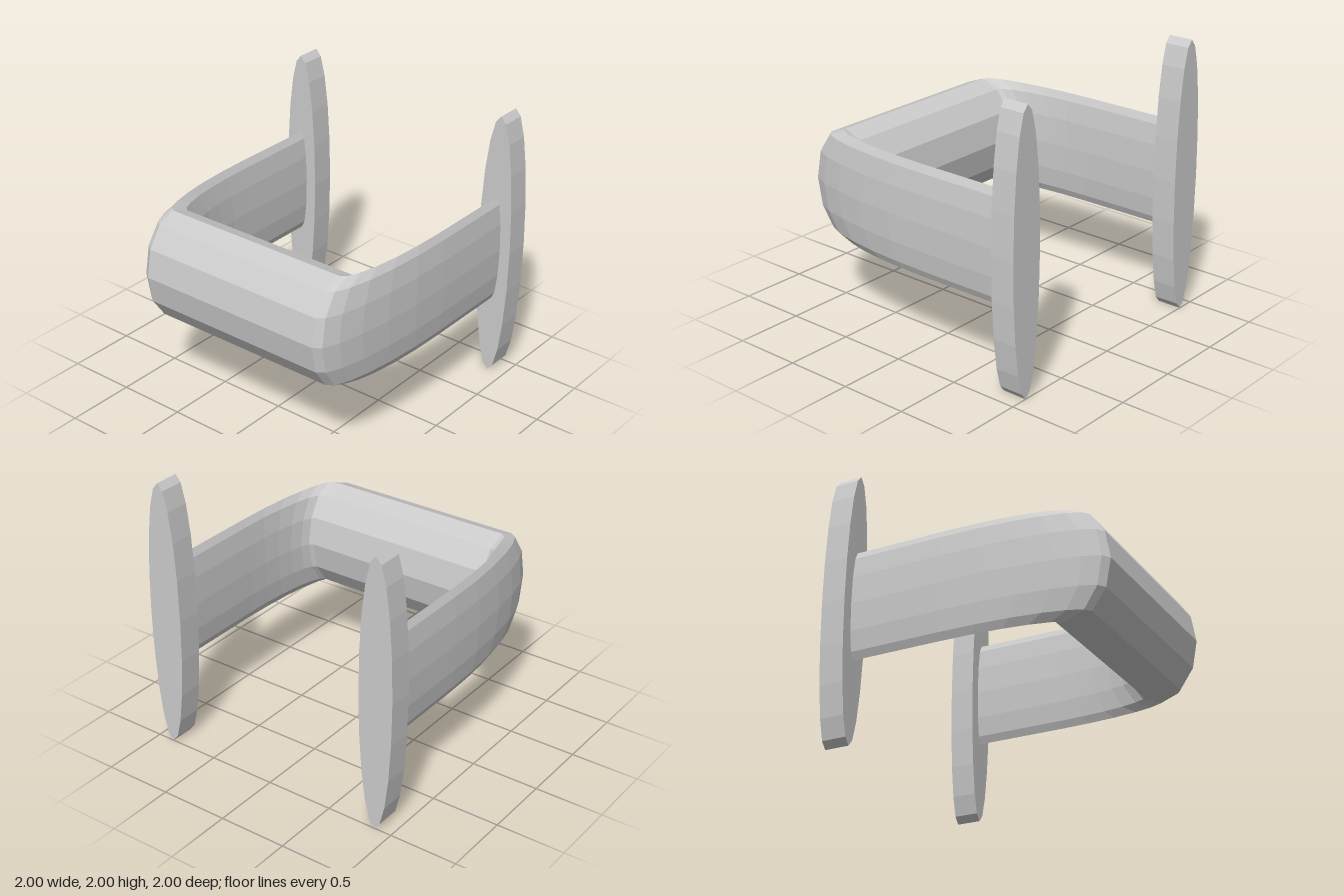
import * as THREE from 'three';

const material = new THREE.MeshStandardMaterial({ color: 0xcccccc, flatShading: true });

// U-shaped bar: a 12-sided oval section swept along leg, bend, grip, bend, leg
function createHandle() {
  const sides = 12, bendSteps = 6, bend = 3.16; // bend radius in section radii
  const rx = 0.049, ry = 0.4, rz = 0.275;
  const cornerX = 0.715, cornerZ = -0.145, wallZ = -0.83;

  // Stations: bend angle, side, and whether the ring sits at the wall
  const stations = [{ t: Math.PI / 2, side: 1, wall: true }];
  for (let i = bendSteps; i >= 0; i--) stations.push({ t: (i / bendSteps) * Math.PI / 2, side: 1 });
  for (const s of [...stations].reverse()) stations.push({ ...s, side: -1 });

  const positions = [], index = [];
  stations.forEach(({ t, side, wall }, i) => {
    for (let j = 0; j < sides; j++) {
      const phi = (j / sides) * Math.PI * 2;
      const r = bend + Math.cos(phi);
      positions.push(
        side * (cornerX + rx * r * Math.sin(t)),
        1 + ry * Math.sin(phi),
        wall ? wallZ : cornerZ + rz * r * Math.cos(t)
      );
      if (i < stations.length - 1) {
        const k = (j + 1) % sides;
        const a = i * sides + j, b = i * sides + k;
        index.push(a, b, a + sides, b, b + sides, a + sides);
      }
    }
  });

  const geometry = new THREE.BufferGeometry();
  geometry.setAttribute('position', new THREE.Float32BufferAttribute(positions, 3));
  geometry.setIndex(index);
  const flat = geometry.toNonIndexed();
  flat.computeVertexNormals();
  const handle = new THREE.Mesh(flat, material);
  handle.name = 'handle';
  return handle;
}

// Tall, narrow oval wall plate
function createPlate(side) {
  const geometry = new THREE.CylinderGeometry(1, 1, 0.18, 20);
  geometry.rotateX(Math.PI / 2);
  geometry.scale(0.13, 1, 1);
  const plate = new THREE.Mesh(geometry, material);
  plate.position.set(side * 0.87, 1, -0.91);
  plate.name = side > 0 ? 'leftPlate' : 'rightPlate';
  return plate;
}

export function createModel() {
  const group = new THREE.Group();
  group.name = 'pullHandle';
  group.add(createHandle(), createPlate(1), createPlate(-1));
  return group;
}
